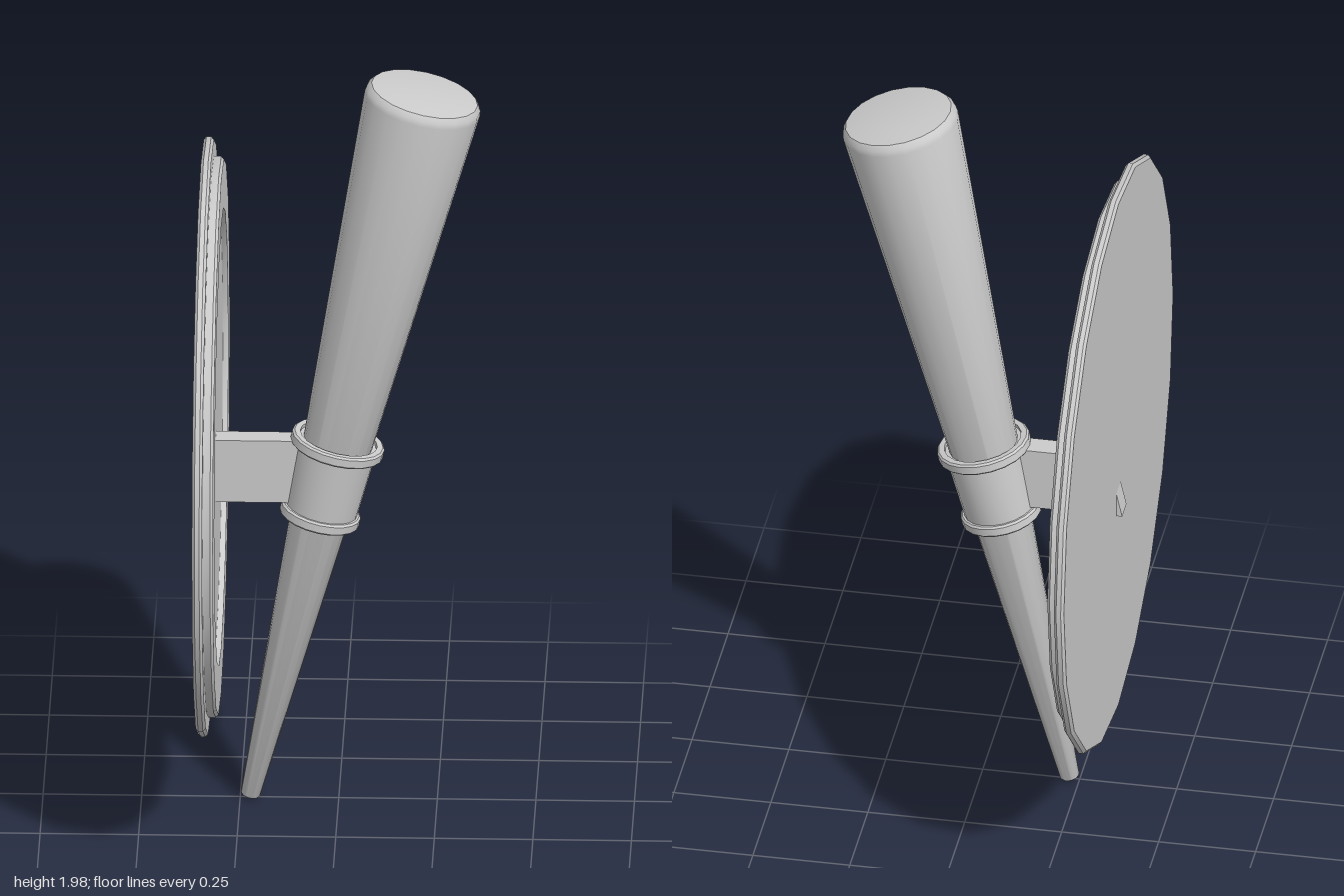
import * as THREE from 'three';
import { toCreasedNormals } from 'three/addons/utils/BufferGeometryUtils.js';

const material = new THREE.MeshStandardMaterial({ color: 0xcccccc });
const SIDES = 20;

function addMesh(parent, name, geometry) {
  const mesh = new THREE.Mesh(geometry, material);
  mesh.name = name;
  parent.add(mesh);
  return mesh;
}

// Turned part from [radius, height] pairs, listed from the bottom outwards and up
function turned(points, crease = 0.5) {
  const profile = points.map(([r, y]) => new THREE.Vector2(r, y));
  return toCreasedNormals(new THREE.LatheGeometry(profile, SIDES), crease);
}

export function createModel() {
  const model = new THREE.Group();
  model.name = 'wallTorch';

  // Round wall plate: stepped rim around a shallow recess, facing +x
  const plate = addMesh(model, 'wallPlate', turned([
    [0, -0.35], [0.757, -0.35], [0.765, -0.343], [0.765, -0.331], [0.757, -0.324],
    [0.715, -0.324], [0.715, -0.305], [0.707, -0.298],
    [0.585, -0.298], [0.578, -0.312], [0, -0.312],
  ]));
  plate.rotation.z = -Math.PI / 2;
  plate.position.y = 0.997;

  // Bracket arm: slanted block passing through the plate to the sleeve
  const arm = new THREE.Shape([
    new THREE.Vector2(-0.365, 0.83),
    new THREE.Vector2(-0.08, 0.83),
    new THREE.Vector2(-0.04, 1.0),
    new THREE.Vector2(-0.327, 1.0),
  ]);
  const armGeometry = new THREE.ExtrudeGeometry(arm, { depth: 0.06, bevelEnabled: false });
  armGeometry.translate(0, 0, -0.03);
  addMesh(model, 'bracketArm', armGeometry);

  // Leaning torch, built upright along its own axis
  const torch = new THREE.Group();
  torch.name = 'torch';
  torch.position.set(-0.225, 0.0075, 0);
  torch.rotation.z = -0.2238;
  model.add(torch);

  // Tapered handle with a softened, slightly domed top
  addMesh(torch, 'handle', turned([
    [0, 0], [0.021, 0], [0.025, 0.005], [0.15, 1.968],
    [0.148, 1.982], [0.138, 1.995], [0.09, 2.001], [0, 2.004],
  ], 0.75));

  // Open-topped holder sleeve
  addMesh(torch, 'sleeve', turned([
    [0.07, 0.79], [0.091, 0.79], [0.102, 1.005], [0.088, 1.005],
  ]));

  // Collars at both ends of the sleeve
  for (const [name, y, inner, outer] of [
    ['lowerCollar', 0.802, 0.075, 0.103],
    ['upperCollar', 1.0, 0.1, 0.12],
  ]) {
    const h = 0.015, b = 0.005;
    const collar = addMesh(torch, name, turned([
      [inner, -h], [outer - b, -h], [outer, -h + b], [outer, h - b],
      [outer - b, h], [inner, h], [inner, -h],
    ]));
    collar.position.y = y;
  }

  return model;
}
